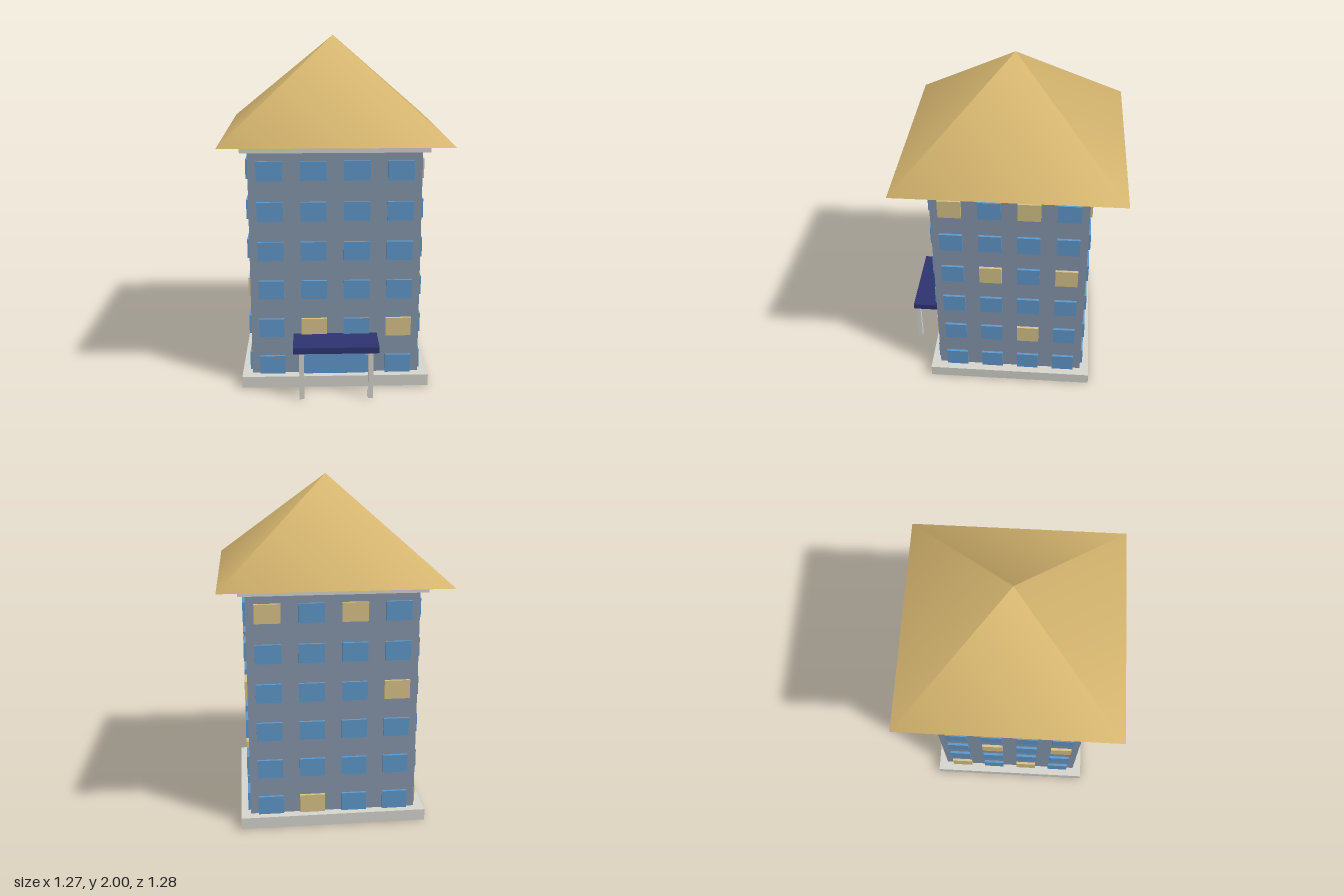
import * as THREE from 'three';

export function createModel() {
  const model = new THREE.Group();
  model.name = 'towerBlock';

  const mat = (name, color) => {
    const m = new THREE.MeshStandardMaterial({ color });
    m.name = name;
    return m;
  };
  const wall = mat('blue grey wall', 0x8798ad);
  const glass = mat('blue glass', 0x609acd);
  const lit = mat('lit glass', 0xdac58a);
  const concrete = mat('pale concrete', 0xd7d6ce);
  const navy = mat('navy canopy', 0x2e3470);
  const gold = mat('golden roof', 0xd4b46e);

  // Box from its size and centre
  const box = (name, material, [w, h, d], [x, y, z], parent = model) => {
    const mesh = new THREE.Mesh(new THREE.BoxGeometry(w, h, d), material);
    mesh.name = name;
    mesh.position.set(x, y, z);
    parent.add(mesh);
    return mesh;
  };

  const cz = -0.005; // the block sits slightly back because of the canopy
  const W = 0.97, D = 0.88;

  // Main volumes
  box('walls', wall, [W, 1.4, D], [0, 0.7, cz]);
  box('plinth', concrete, [1.085, 0.068, 0.99], [0, 0.036, cz]);
  box('cornice', concrete, [1.05, 0.052, 0.95], [0, 1.416, cz]);

  // Pyramid roof with softly blended normals
  const roofGeo = new THREE.ConeGeometry(0.633 * Math.SQRT2, 0.555, 4);
  roofGeo.rotateY(Math.PI / 4);
  const roof = new THREE.Mesh(roofGeo, gold);
  roof.name = 'roof';
  roof.position.set(0, 1.7225, cz);
  model.add(roof);

  // Window grids: columns run left to right as seen facing each wall, rows upward.
  // Lit windows are listed as 'column,row'.
  const facades = [
    { name: 'frontWindows', turn: 0, out: D / 2, step: 0.244, width: 0.147, lit: ['1,1', '3,1'] },
    { name: 'leftWindows', turn: Math.PI / 2, out: W / 2, step: 0.22, width: 0.13,
      lit: ['0,5', '2,5', '1,3', '3,3', '2,1'] },
    { name: 'backWindows', turn: Math.PI, out: D / 2, step: 0.244, width: 0.147,
      lit: ['0,5', '2,5', '3,3', '1,0'] },
    { name: 'rightWindows', turn: -Math.PI / 2, out: W / 2, step: 0.22, width: 0.13,
      lit: ['0,0', '1,2', '2,4', '2,0', '3,2'] },
  ];
  for (const f of facades) {
    const group = new THREE.Group();
    group.name = f.name;
    group.position.z = cz;
    group.rotation.y = f.turn;
    for (let row = 0; row < 6; row++) {
      for (let col = 0; col < 4; col++) {
        const material = f.lit.includes(`${col},${row}`) ? lit : glass;
        box('window', material, [f.width, 0.11, 0.03],
          [(col - 1.5) * f.step, 0.125 + row * 0.232, f.out], group);
      }
    }
    model.add(group);
  }

  // Entrance: glazed door, canopy and its two posts
  box('door', glass, [0.35, 0.21, 0.04], [0, 0.168, 0.435]);
  box('canopy', navy, [0.485, 0.036, 0.205], [0, 0.298, 0.5345]);
  for (const side of [-1, 1]) {
    box('canopyPost', concrete, [0.028, 0.282, 0.028], [side * 0.195, 0.141, 0.619]);
  }

  return model;
}
